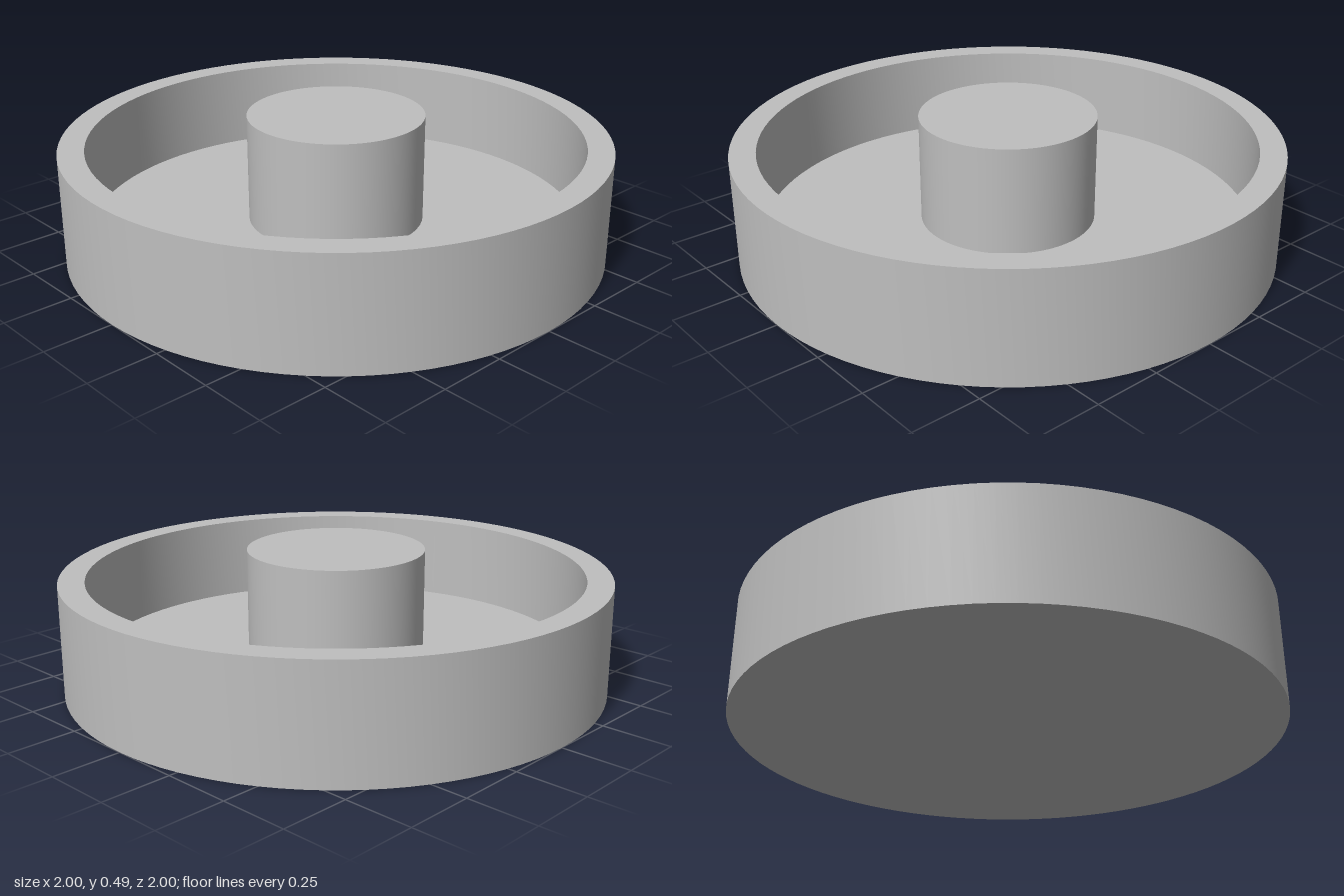
import * as THREE from 'three';
import { toCreasedNormals } from 'three/addons/utils/BufferGeometryUtils.js';

const SEGMENTS = 96;
const RIM_HEIGHT = 0.41;
const FLOOR_HEIGHT = 0.09;
const POST_TOP = 0.49;

export function createModel() {
  const model = new THREE.Group();
  model.name = 'roundTrayWithPost';

  const grey = new THREE.MeshStandardMaterial({ color: 0xbfbfbf });
  grey.name = 'plain grey';

  // Tray: underside, outer wall, flat rim, inner wall and floor in one profile
  const profile = [
    [0, 0], [1, 0], [1, RIM_HEIGHT],
    [0.905, RIM_HEIGHT], [0.905, FLOOR_HEIGHT], [0, FLOOR_HEIGHT],
  ].map(([r, y]) => new THREE.Vector2(r, y));
  const tray = new THREE.Mesh(
    toCreasedNormals(new THREE.LatheGeometry(profile, SEGMENTS), Math.PI / 6), grey);
  tray.name = 'tray';
  model.add(tray);

  // Centre post: solid cylinder standing on the floor
  const postHeight = POST_TOP - FLOOR_HEIGHT;
  const post = new THREE.Mesh(
    new THREE.CylinderGeometry(0.325, 0.325, postHeight, SEGMENTS), grey);
  post.name = 'centrePost';
  post.position.y = FLOOR_HEIGHT + postHeight / 2;
  model.add(post);

  return model;
}
